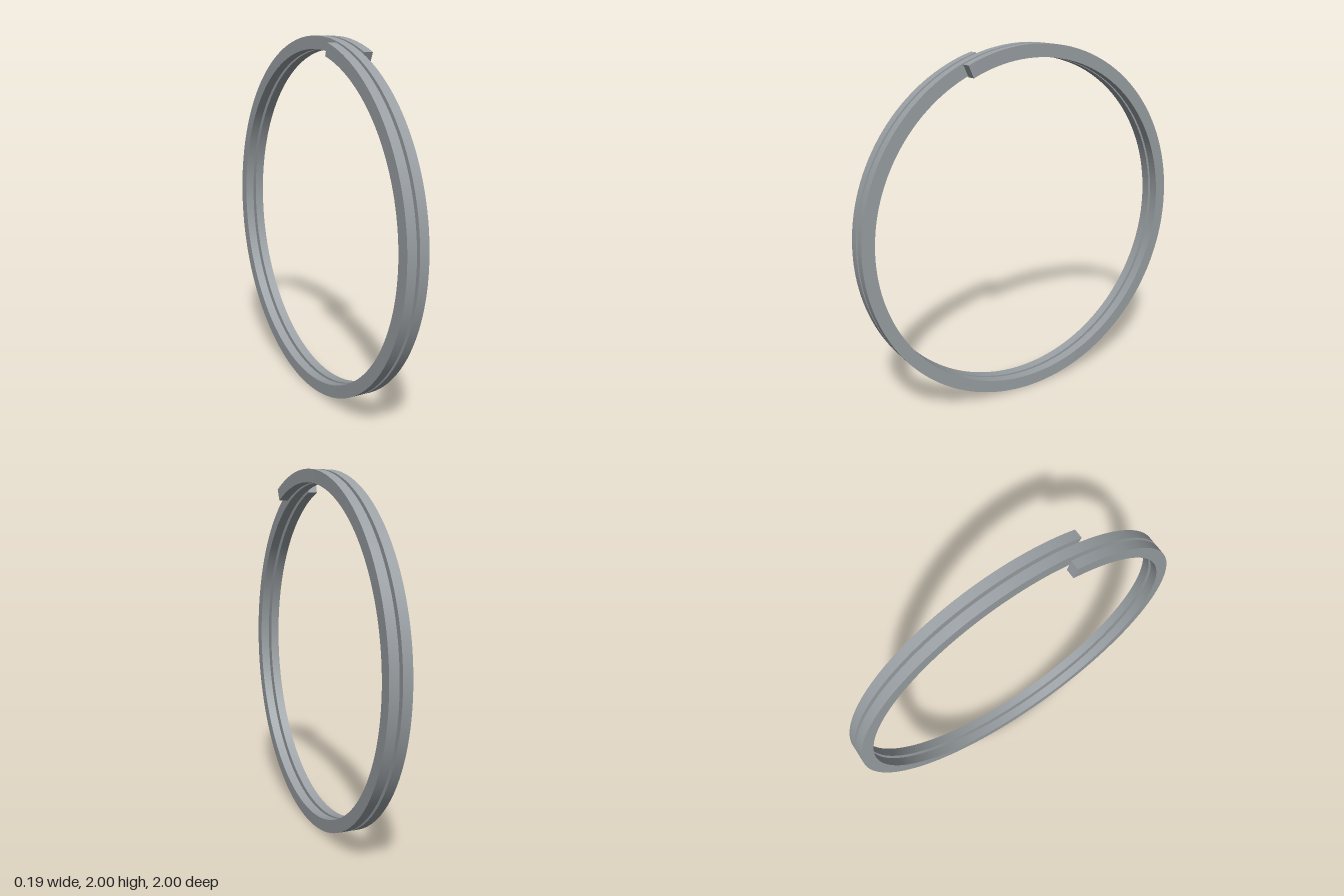
import * as THREE from 'three';

const steel = new THREE.MeshStandardMaterial({ color: 0x9aa0a4 });
steel.name = 'steelGrey';

// Helix around the x axis; angle is measured from the top towards the front
const START = THREE.MathUtils.degToRad(16.3);
const END = THREE.MathUtils.degToRad(720 + 24);
const X_END = 0.0695, HALF_WIDTH = 0.026, INNER = 0.93, OUTER = 1;
const STEPS = 320;

// Rectangular wire section: [x offset, radius]
const SECTION = [
  [-HALF_WIDTH, INNER], [HALF_WIDTH, INNER],
  [HALF_WIDTH, OUTER], [-HALF_WIDTH, OUTER],
];

function corner(k, t) {
  const [dx, r] = SECTION[k % 4];
  const angle = THREE.MathUtils.lerp(START, END, t);
  const x = THREE.MathUtils.lerp(-X_END, X_END, t) + dx;
  return [x, 1 + r * Math.cos(angle), r * Math.sin(angle)];
}

function coilGeometry() {
  const positions = [], index = [];

  // Four long faces, each with its own vertices so the section edges stay sharp
  for (let k = 0; k < 4; k++) {
    const base = positions.length / 3;
    for (let i = 0; i <= STEPS; i++) {
      positions.push(...corner(k, i / STEPS), ...corner(k + 1, i / STEPS));
      if (i < STEPS) {
        const a = base + i * 2;
        index.push(a, a + 1, a + 2, a + 1, a + 3, a + 2);
      }
    }
  }

  // Flat cut ends
  for (const t of [0, 1]) {
    const b = positions.length / 3;
    for (let k = 0; k < 4; k++) positions.push(...corner(k, t));
    if (t) index.push(b, b + 1, b + 2, b, b + 2, b + 3);
    else index.push(b, b + 2, b + 1, b, b + 3, b + 2);
  }

  const geometry = new THREE.BufferGeometry();
  geometry.setAttribute('position', new THREE.Float32BufferAttribute(positions, 3));
  geometry.setIndex(index);
  geometry.computeVertexNormals();
  return geometry;
}

export function createModel() {
  const group = new THREE.Group();
  group.name = 'splitRing';
  const coil = new THREE.Mesh(coilGeometry(), steel);
  coil.name = 'coiledWire';
  group.add(coil);
  return group;
}
